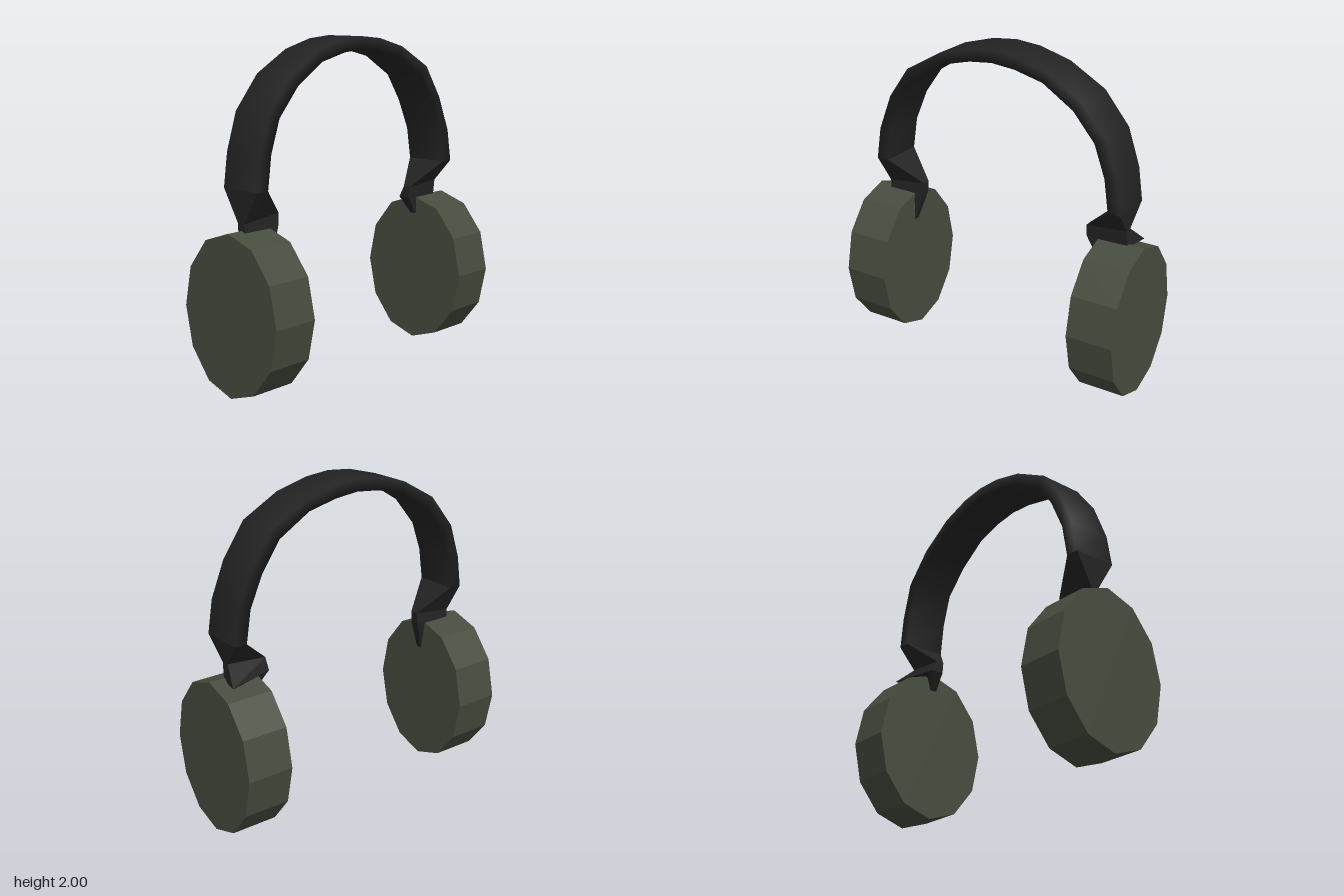
import * as THREE from 'three';

const padMat = new THREE.MeshStandardMaterial({ color: 0x464c3e });
padMat.name = 'olive grey';
const bandMat = new THREE.MeshStandardMaterial({ color: 0x232324 });
bandMat.name = 'charcoal black';

// Skin a list of four-cornered rings, given from left (-x) to right (+x).
// Corner order: outer front, outer back, inner back, inner front.
function loft(rings, smooth, capStart, capEnd) {
  const index = [];
  for (let j = 0; j < rings.length - 1; j++) {
    for (let i = 0; i < 4; i++) {
      const a = j * 4 + i, b = j * 4 + (i + 1) % 4;
      index.push(a, a + 4, b, b, a + 4, b + 4);
    }
  }
  const e = (rings.length - 1) * 4;
  if (capStart) index.push(0, 1, 2, 0, 2, 3);
  if (capEnd) index.push(e, e + 2, e + 1, e, e + 3, e + 2);
  let geo = new THREE.BufferGeometry();
  geo.setAttribute('position', new THREE.Float32BufferAttribute(rings.flat(2), 3));
  geo.setIndex(index);
  if (!smooth) geo = geo.toNonIndexed();
  geo.computeVertexNormals();
  return geo;
}

// Ring from an outer and an inner point in the front plane
function ring(outer, inner, halfWidth, z = 0) {
  const [ox, oy] = outer, [ix, iy] = inner;
  return [[ox, oy, z + halfWidth], [ox, oy, z - halfWidth],
    [ix, iy, z - halfWidth], [ix, iy, z + halfWidth]];
}

function addMesh(group, name, geo, mat) {
  const mesh = new THREE.Mesh(geo, mat);
  mesh.name = name;
  group.add(mesh);
  return mesh;
}

export function createModel() {
  const group = new THREE.Group();
  group.name = 'headphones';

  // Ear cups: twelve-sided drums, taller than deep
  for (const side of [-1, 1]) {
    const geo = new THREE.CylinderGeometry(1, 1, 0.29, 12).toNonIndexed();
    geo.rotateZ(Math.PI / 2);
    geo.scale(1, 0.475, 0.38);
    geo.computeVertexNormals();
    const cup = addMesh(group, side < 0 ? 'rightEarCup' : 'leftEarCup', geo, padMat);
    cup.position.set(side * 0.798, 0.475, 0);
  }

  // Headband: outer x, outer y, inner x, inner y, z drift, from end to crown
  const half = [
    [0.85, 1.18, 0.77, 1.18, 0.005],
    [0.82, 1.38, 0.74, 1.38, 0.002],
    [0.74, 1.6, 0.665, 1.57, -0.009],
    [0.59, 1.8, 0.535, 1.74, 0.006],
    [0.36, 1.93, 0.335, 1.865, 0],
    [0.16, 1.985, 0.15, 1.91, -0.004],
    [0, 2, 0, 1.925, -0.004],
  ];
  const station = (s, [ox, oy, ix, iy, z]) => ring([s * ox, oy], [s * ix, iy], 0.137, z);
  const band = [
    ...half.map((p) => station(-1, p)),
    ...half.slice(0, -1).reverse().map((p) => station(1, p)),
  ];
  addMesh(group, 'headband', loft(band, true), bandMat);

  // Crumpled joints: the band pinches in, turns and runs into the cup
  const rightJoint = [
    ring([-0.72, 0.85], [-0.652, 0.76], 0.02, 0.02),
    ring([-0.84, 0.93], [-0.59, 0.95], 0.03),
    ring([-0.845, 0.99], [-0.583, 1.02], 0.025),
    band[0],
  ];
  addMesh(group, 'rightJoint', loft(rightJoint, false, true, false), bandMat);

  const leftJoint = [
    band[band.length - 1],
    ring([0.835, 1.04], [0.58, 1.02], 0.025),
    [[0.84, 0.93, 0.01], [0.875, 0.94, -0.14], [0.58, 0.95, -0.06], [0.58, 0.95, 0.02]],
    ring([0.75, 0.88], [0.645, 0.84], 0.02),
  ];
  addMesh(group, 'leftJoint', loft(leftJoint, false, false, true), bandMat);

  return group;
}
